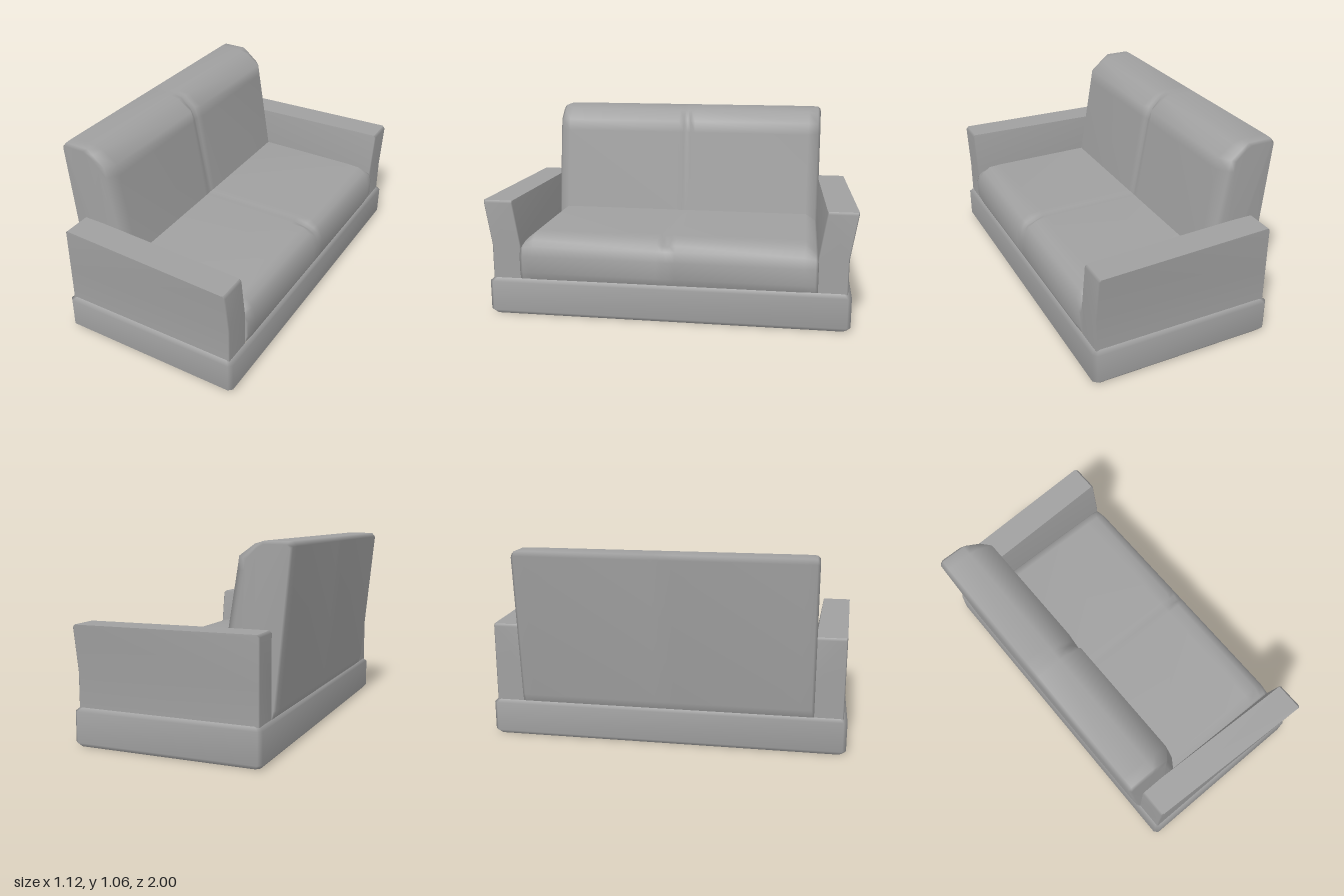
import * as THREE from 'three';

const material = new THREE.MeshStandardMaterial({ color: 0xa0a0a0, side: THREE.DoubleSide });

// Skin a list of equal-length cross-sections; closed joins each ring's ends.
// Area-weighted normals keep the panels flat and the narrow bevels soft.
function loft(name, rings, closed) {
  const n = rings[0].length, index = [];
  for (let i = 0; i < rings.length - 1; i++) {
    for (let j = 0; j < (closed ? n : n - 1); j++) {
      const k = (j + 1) % n;
      const a = i * n + j, b = a + n, c = i * n + k, d = c + n;
      index.push(a, b, c, b, d, c);
    }
  }
  const geometry = new THREE.BufferGeometry();
  geometry.setAttribute('position', new THREE.Float32BufferAttribute(rings.flat(2), 3));
  geometry.setIndex(index);
  geometry.computeVertexNormals();
  const mesh = new THREE.Mesh(geometry, material);
  mesh.name = name;
  return mesh;
}

// Horizontal rectangle with clipped corners; flare pushes the +x end out in z.
function rectRing(y, x0, x1, z0, z1, clip, flare = 0) {
  const c = clip;
  return [
    [x1, z0 + c], [x1, z1 - c], [x1 - c, z1], [x0 + c, z1],
    [x0, z1 - c], [x0, z0 + c], [x0 + c, z0], [x1 - c, z0],
  ].map(([x, z]) => [x, y, z + flare * (x - x0) / (x1 - x0)]);
}

// Hollow plinth, open above and below
function makeBase() {
  const rings = [[0, 0.018], [0.022, 0], [0.185, 0], [0.205, 0.02]].map(([y, inset]) =>
    rectRing(y, -0.477 + inset, 0.557 - inset, -0.98 + inset, 0.98 - inset, 0.02));
  return loft('base', rings, true);
}

// Arm leaning outward towards the front, open underneath
function makeArm(name) {
  const arm = (y, inset, flare) =>
    rectRing(y, -0.46 + inset, 0.535 - inset, 0.8, 0.96, 0.006, flare);
  const rings = [arm(0.2, 0, 0), arm(0.39, 0, 0), arm(0.625, 0, 0.038), arm(0.638, 0.012, 0.04)];
  // Repeated rim gives the flat top a crisp edge
  rings.push(rings[3], rings[3].map(() => [0.03, 0.638, 0.9]));
  return loft(name, rings, true);
}

// Backrest and seat in one shell, swept across z.
// Each row: x, y, shift at the ends (x, y), shift in the centre seam (x, y)
const crease = [-0.175, 0.45, -0.05, -0.065, -0.004, -0.003];
const profile = [
  [-0.46, 0.2, 0, 0, 0, 0],
  [-0.48, 0.245, 0.01, 0, 0, 0],
  [-0.56, 1.035, 0.012, -0.008, 0, 0],
  [-0.54, 1.06, 0.008, -0.015, 0, 0],
  [-0.4, 1.06, -0.015, -0.015, 0, 0],
  [-0.345, 1.045, -0.035, -0.02, -0.006, -0.006],
  [-0.262, 0.985, -0.065, -0.01, -0.04, 0],
  [-0.252, 0.92, -0.065, 0, -0.016, 0],
  // Repeated so the fold between backrest and seat stays sharp
  crease, crease,
  [0.4, 0.45, 0, -0.065, 0, -0.003],
  [0.475, 0.446, 0, -0.063, -0.015, -0.025],
  [0.515, 0.42, -0.005, -0.04, -0.01, -0.012],
  [0.537, 0.39, -0.008, -0.015, 0, 0],
  [0.555, 0.335, -0.012, 0, 0, 0],
  [0.555, 0.245, -0.012, 0, 0, 0],
  [0.538, 0.204, -0.005, 0, 0, 0],
];

function makeCushions() {
  // The rear edges have a much narrower bevel than the cushion edges.
  const section = (z, end, seam) => profile.map(([x, y, ex, ey, sx, sy]) => {
    const bevel = x < -0.39 ? end ** 5 : end;
    return [x + ex * bevel + sx * seam, y + ey * bevel + sy * seam, z];
  });
  const cap = (z) => profile.map(() => [-0.28, 0.2, z]);
  const stations = [[0.805, 1, 0], [0.79, 0.65, 0], [0.735, 0, 0], [0.05, 0, 0], [0.02, 0, 0.6]];
  const rings = [
    cap(-0.805),
    ...stations.map(([z, e, s]) => section(-z, e, s)),
    section(0, 0, 1),
    ...stations.slice().reverse().map(([z, e, s]) => section(z, e, s)),
    cap(0.805),
  ];
  return loft('seatAndBackrest', rings, false);
}

export function createModel() {
  const sofa = new THREE.Group();
  sofa.name = 'sofa';
  const leftArm = makeArm('armPositiveZ');
  const rightArm = makeArm('armNegativeZ');
  rightArm.scale.z = -1;
  sofa.add(makeBase(), makeCushions(), leftArm, rightArm);
  return sofa;
}
